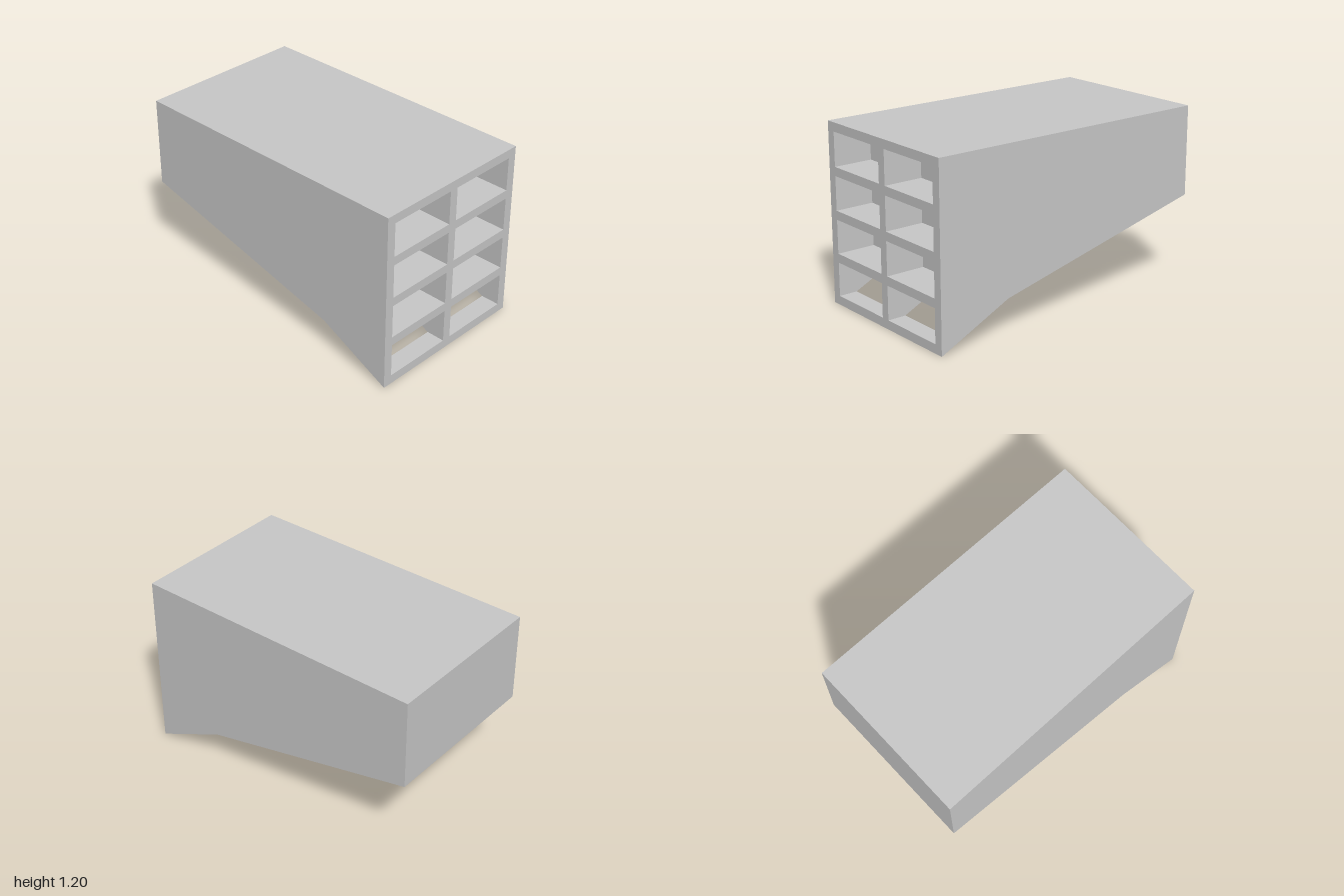
import * as THREE from 'three';

const W = 0.568, H = 1.196;              // half width and height
const KNEE_Y = 0.239, KNEE_Z = 0.5;      // where the two underside slopes meet
const REAR_Y = 0.598;
const BACK_Z = 0.733;                    // back of the compartments
const IN = 0.03, OUT = 0.507;            // compartment sides, mirrored about x = 0
const ROWS = 4, ROW_Y = 0.06, PITCH = 0.284, ROW_H = 0.225;

// height of the front underside slope at z, and its inverse
const slopeY = z => KNEE_Y * (1 - z) / (1 - KNEE_Z);
const slopeZ = y => 1 - y * (1 - KNEE_Z) / KNEE_Y;

export function createModel() {
  const group = new THREE.Group();
  const grey = new THREE.MeshStandardMaterial({ color: 0xc8c8c8 });
  grey.name = 'grey';

  const add = (name, geometry, parent = group) => {
    const mesh = new THREE.Mesh(geometry, grey);
    mesh.name = name;
    parent.add(mesh);
  };

  // flat panel fanned from its first corner, corners anticlockwise from its visible side
  const panel = (name, corners, parent) => {
    const pos = [];
    for (let i = 1; i < corners.length - 1; i++) pos.push(...corners[0], ...corners[i], ...corners[i + 1]);
    const geometry = new THREE.BufferGeometry();
    geometry.setAttribute('position', new THREE.Float32BufferAttribute(pos, 3));
    geometry.computeVertexNormals();
    add(name, geometry, parent);
  };

  const rect = (path, x0, y0, x1, y1) =>
    path.moveTo(x0, y0).lineTo(x1, y0).lineTo(x1, y1).lineTo(x0, y1).closePath();
  const columns = [[-OUT, -IN], [IN, OUT]];
  const hole = (shape, x0, y0, x1, y1) => shape.holes.push(rect(new THREE.Path(), x0, y0, x1, y1));

  // front frame and the front underside slope, both pierced
  const front = rect(new THREE.Shape(), -W, 0, W, H);
  const under = rect(new THREE.Shape(), -W, 0, W, KNEE_Y);
  for (const [x0, x1] of columns) {
    for (let r = 0; r < ROWS; r++) hole(front, x0, ROW_Y + r * PITCH, x1, ROW_Y + r * PITCH + ROW_H);
    hole(under, x0, ROW_Y, x1, slopeY(BACK_Z));
  }
  add('frontFrame', new THREE.ShapeGeometry(front).translate(0, 0, 1));

  // lean the underside back along the slope and turn it to face down
  const slope = new THREE.ShapeGeometry(under);
  const p = slope.attributes.position;
  for (let i = 0; i < p.count; i++) p.setZ(i, slopeZ(p.getY(i)));
  slope.index.array.reverse();
  slope.computeVertexNormals();
  add('frontUnderside', slope);

  // outer shell, the sides fanned from the knee
  panel('rearUnderside', [[-W, KNEE_Y, KNEE_Z], [-W, REAR_Y, -1], [W, REAR_Y, -1], [W, KNEE_Y, KNEE_Z]]);
  panel('top', [[-W, H, 1], [W, H, 1], [W, H, -1], [-W, H, -1]]);
  panel('back', [[W, REAR_Y, -1], [-W, REAR_Y, -1], [-W, H, -1], [W, H, -1]]);
  panel('leftSide', [[W, KNEE_Y, KNEE_Z], [W, REAR_Y, -1], [W, H, -1], [W, H, 1], [W, 0, 1]]);
  panel('rightSide', [[-W, KNEE_Y, KNEE_Z], [-W, 0, 1], [-W, H, 1], [-W, H, -1], [-W, REAR_Y, -1]]);

  // compartments, the lowest row running out through the slope
  for (const [x0, x1] of columns) {
    for (let r = 0; r < ROWS; r++) {
      const cell = new THREE.Group();
      cell.name = 'compartment';
      group.add(cell);
      const y0 = ROW_Y + r * PITCH, y1 = y0 + ROW_H;
      const floorZ = Math.max(BACK_Z, slopeZ(y0));
      const backY = Math.max(y0, slopeY(BACK_Z));
      panel('floor', [[x0, y0, 1], [x1, y0, 1], [x1, y0, floorZ], [x0, y0, floorZ]], cell);
      panel('ceiling', [[x0, y1, BACK_Z], [x1, y1, BACK_Z], [x1, y1, 1], [x0, y1, 1]], cell);
      panel('backWall', [[x0, backY, BACK_Z], [x1, backY, BACK_Z], [x1, y1, BACK_Z], [x0, y1, BACK_Z]], cell);
      const wall = x => [[x, y1, BACK_Z], [x, y1, 1], [x, y0, 1], [x, y0, floorZ], [x, backY, BACK_Z]];
      panel('rightWall', wall(x0), cell);
      panel('leftWall', wall(x1).reverse(), cell);
    }
  }
  return group;
}
